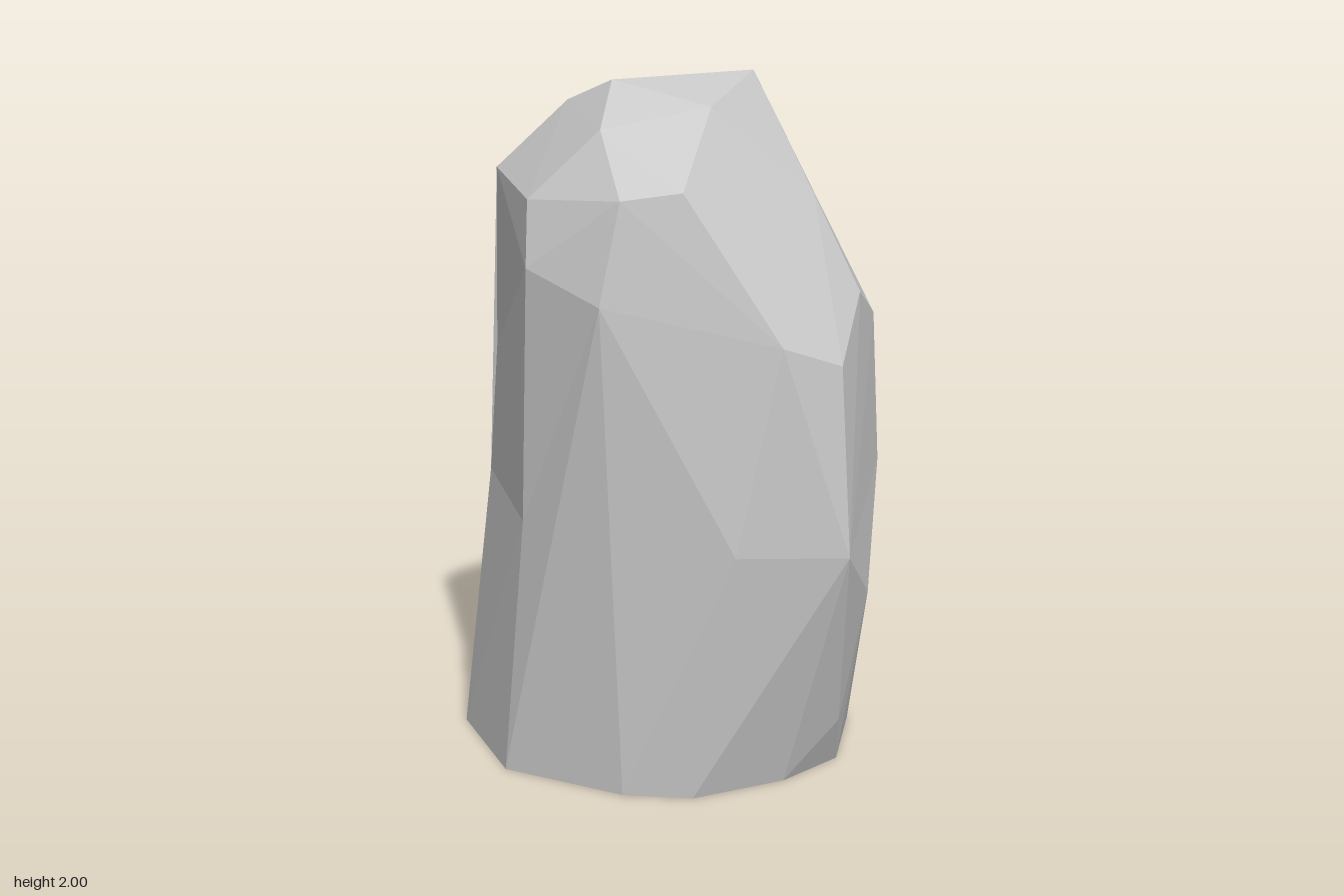
import * as THREE from 'three';
import { ConvexGeometry } from 'three/addons/geometries/ConvexGeometry.js';

// Corners of the stone as [x, y, z], in bands from the ground up
const foot = [
  [0.19, 0.35], [0.4, 0.25], [0.56, -0.03], [0.39, -0.44], [-0.12, -0.54],
  [-0.56, -0.41], [-0.545, 0], [-0.28, 0.29], [-0.1, 0.38],
].map(([x, z]) => [x, 0, z]);

const waist = [
  [0.365, 0.16, 0.34], [0.55, 0.17, -0.15], [-0.3, 0.5, -0.48], [0.375, 0.53, -0.42],
  [0.44, 0.55, 0.36], [-0.12, 0.66, -0.52], [0.3, 0.72, 0.54], [-0.02, 0.74, 0.5],
  [-0.495, 0.77, 0.06], [-0.48, 0.82, -0.345], [0.55, 0.89, 0.17], [0.545, 0.89, -0.155],
  [0.35, 0.98, -0.39],
];

const shoulder = [
  [-0.455, 1.2, -0.335], [0.29, 1.25, 0.49], [-0.1, 1.27, -0.515], [0.1, 1.32, 0.53],
  [0.515, 1.33, 0.195], [0.41, 1.42, 0.33], [-0.36, 1.43, 0.365], [-0.27, 1.48, -0.46],
  [-0.5, 1.51, 0.155], [0.28, 1.6, -0.395], [0.465, 1.61, -0.125],
];

const crown = [
  [-0.48, 1.69, 0.11], [0.3, 1.69, 0.25], [-0.3, 1.71, 0.365], [-0.44, 1.72, -0.355],
  [-0.14, 1.73, 0.41], [-0.14, 1.745, -0.525], [-0.35, 1.765, -0.395],
  [-0.3, 1.88, 0.2], [0.345, 1.89, -0.21], [0.26, 1.9, -0.335], [-0.26, 1.92, -0.23],
  [0, 1.935, 0.245], [0, 1.96, -0.28], [-0.19, 1.99, -0.035], [0.255, 2, -0.095],
];

// Swelling of the column by height, used to reach the hollows in its sides
const swell = (y) => 1 + 0.12 * Math.sin(Math.PI * Math.min(y / 1.75, 1));

export function createModel() {
  const group = new THREE.Group();
  group.name = 'standingStone';

  // Wrap the swollen corners in facets, then draw the waist back in
  const corners = [...foot, ...waist, ...shoulder, ...crown]
    .map(([x, y, z]) => new THREE.Vector3(x * swell(y), y, z * swell(y)));
  const geometry = new ConvexGeometry(corners);
  const pos = geometry.attributes.position;
  for (let i = 0; i < pos.count; i++) {
    const s = swell(pos.getY(i));
    pos.setX(i, pos.getX(i) / s);
    pos.setZ(i, pos.getZ(i) / s);
  }
  geometry.computeVertexNormals();

  const stone = new THREE.Mesh(
    geometry,
    new THREE.MeshStandardMaterial({ color: 0xcccccc, flatShading: true }),
  );
  stone.name = 'stone';
  group.add(stone);
  return group;
}
